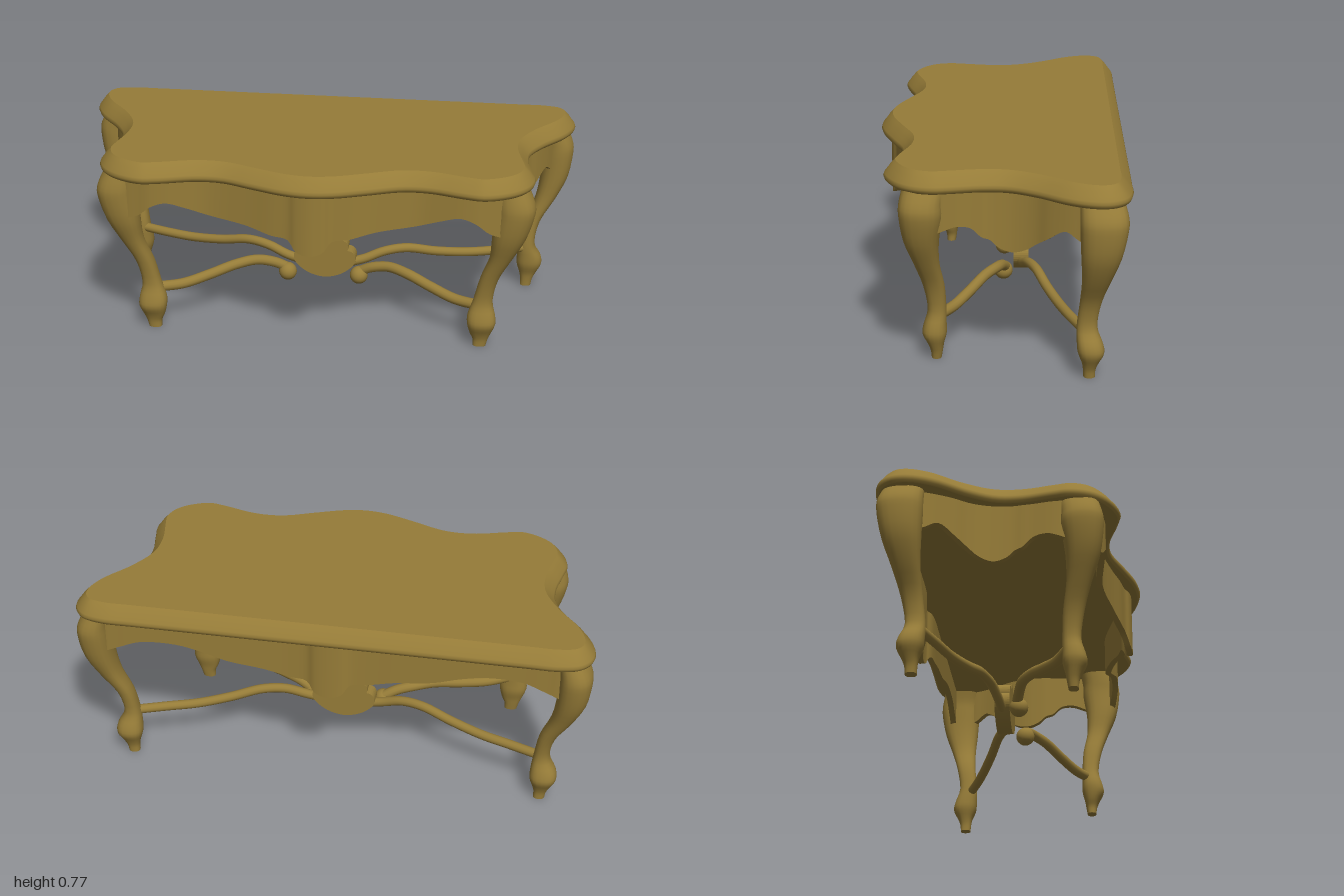
import * as THREE from 'three';
import { mergeGeometries } from 'three/addons/utils/BufferGeometryUtils.js';

const V = (x, y, z) => new THREE.Vector3(x, y, z);

// Skin between equal-length closed rings, with optional flat end caps
function loft(rings, caps = true) {
  const n = rings[0].length, pos = [], idx = [];
  rings.forEach(r => r.forEach(p => pos.push(p.x, p.y, p.z)));
  for (let i = 0; i < rings.length - 1; i++) {
    for (let j = 0; j < n; j++) {
      const a = i * n + j, b = i * n + (j + 1) % n, c = a + n, d = b + n;
      idx.push(a, c, b, b, c, d);
    }
  }
  if (caps) {
    [rings[0], rings[rings.length - 1]].forEach((r, top) => {
      const base = pos.length / 3;
      const mid = r.reduce((s, p) => s.add(p), V(0, 0, 0)).divideScalar(n);
      [...r, mid].forEach(p => pos.push(p.x, p.y, p.z));
      for (let j = 0; j < n; j++) {
        const a = base + j, b = base + (j + 1) % n;
        idx.push(base + n, top ? b : a, top ? a : b);
      }
    });
  }
  const g = new THREE.BufferGeometry();
  g.setAttribute('position', new THREE.Float32BufferAttribute(pos, 3));
  g.setIndex(idx);
  g.computeVertexNormals();
  return g;
}

// Closed symmetric loop from a half outline running back centre -> +x side -> front centre
function mirroredLoop(half, count) {
  const right = half.map(([x, z, y = 0]) => V(x, y, z));
  const left = right.slice(1, -1).reverse().map(p => V(-p.x, p.y, p.z));
  const curve = new THREE.CatmullRomCurve3([...right, ...left], true, 'centripetal');
  const out = [];
  for (let i = 0; i < count; i++) {
    const p = curve.getPoint(i / count), t = curve.getTangent(i / count);
    const l = Math.hypot(t.x, t.z);
    out.push({ p, nx: t.z / l, nz: -t.x / l });
  }
  return out;
}
const inset = (loop, d, y) => loop.map(({ p, nx, nz }) => V(p.x - nx * d, y ?? p.y, p.z - nz * d));

// Serpentine top outline: x, z
const TOP = [[0, -.478], [.4, -.478], [.75, -.478], [.87, -.477], [.95, -.455], [.99, -.405], [.995, -.34],
  [.96, -.25], [.87, -.13], [.82, -.03], [.815, .06], [.835, .17], [.845, .24], [.82, .32], [.76, .38],
  [.66, .42], [.58, .408], [.45, .372], [.35, .372], [.22, .42], [.1, .463], [0, .477]];

// Apron path with its scalloped lower edge: x, z, bottom y
const APRON = [[0, -.44, .445], [.05, -.435, .458], [.085, -.42, .5], [.15, -.415, .507], [.25, -.415, .53],
  [.4, -.415, .55], [.5, -.415, .58], [.6, -.415, .6], [.74, -.415, .595], [.83, -.415, .56], [.9, -.41, .53],
  [.93, -.36, .52], [.905, -.285, .555], [.885, -.24, .58], [.85, -.18, .54], [.82, -.14, .51], [.8, -.1, .48],
  [.785, -.05, .465], [.78, 0, .482], [.78, .03, .51], [.785, .06, .522], [.79, .1, .558], [.8, .15, .566],
  [.805, .2, .55], [.8, .25, .53], [.785, .3, .52], [.74, .335, .52], [.68, .35, .54], [.63, .36, .58],
  [.57, .358, .6], [.5, .348, .582], [.4, .338, .55], [.25, .37, .53], [.15, .4, .507], [.085, .415, .5],
  [.05, .432, .458], [0, .44, .445]];

// Cabriole leg extents: y, x min, x max, z min, z max
const FRONT_LEG = [[0, .63, .682, .215, .253], [.03, .628, .69, .21, .256], [.06, .615, .702, .205, .267],
  [.1, .605, .717, .195, .286], [.14, .606, .714, .195, .28], [.2, .626, .702, .195, .265], [.3, .65, .722, .2, .28],
  [.4, .683, .77, .216, .31], [.5, .69, .82, .215, .345], [.6, .7, .85, .2, .36], [.65, .7, .846, .2, .358],
  [.705, .7, .82, .19, .345]];
const BACK_LEG = [[0, .805, .85, -.355, -.312], [.03, .805, .856, -.357, -.31], [.06, .798, .87, -.368, -.305],
  [.1, .786, .89, -.387, -.29], [.14, .787, .885, -.38, -.286], [.2, .795, .857, -.36, -.285],
  [.3, .812, .875, -.375, -.295], [.4, .85, .933, -.405, -.3], [.5, .866, .98, -.44, -.295],
  [.6, .87, .996, -.46, -.29], [.65, .87, .99, -.46, -.29], [.705, .86, .96, -.445, -.29]];

// Leg lofted from rounded-square sections
function legGeometry(rows, side) {
  const lo = new THREE.CatmullRomCurve3(rows.map(r => V(r[1], r[0], r[3])), false, 'catmullrom');
  const hi = new THREE.CatmullRomCurve3(rows.map(r => V(r[2], r[0], r[4])), false, 'catmullrom');
  const round = v => Math.sign(v) * Math.abs(v) ** .85;
  const rings = [];
  for (let i = 0; i <= 33; i++) {
    const a = lo.getPoint(i / 33), b = hi.getPoint(i / 33), ring = [];
    for (let j = 0; j < 20; j++) {
      const t = j / 20 * Math.PI * 2;
      ring.push(V(side * (a.x + b.x) / 2 + (b.x - a.x) / 2 * round(Math.cos(t)), a.y,
        (a.z + b.z) / 2 + (b.z - a.z) / 2 * round(Math.sin(t))));
    }
    rings.push(ring);
  }
  return loft(rings);
}

export function createModel() {
  const group = new THREE.Group();
  const wood = new THREE.MeshStandardMaterial({ color: 0x967c38 });
  wood.name = 'antique gold wood';
  const add = (name, geometry) => {
    const m = new THREE.Mesh(geometry, wood);
    m.name = name;
    group.add(m);
    return m;
  };

  // Moulded table top: inset, y
  const top = mirroredLoop(TOP, 176);
  add('tableTop', loft([[.012, .698], [.004, .705], [0, .716], [.004, .727], [.016, .742], [.025, .755],
    [.037, .768], [.044, .775]].map(([d, y]) => inset(top, d, y))));

  // Scalloped apron: outer wall, lower edge and inner wall
  const apron = mirroredLoop(APRON, 288);
  const outerLow = inset(apron, 0), innerLow = inset(apron, .025);
  add('apron', mergeGeometries([
    loft([outerLow, inset(apron, 0, .705)], false),
    loft([innerLow, outerLow], false),
    loft([inset(apron, .025, .705), innerLow], false),
  ]));

  for (const s of [1, -1]) {
    const side = s > 0 ? 'Left' : 'Right';
    add('front' + side + 'Leg', legGeometry(FRONT_LEG, s));
    add('back' + side + 'Leg', legGeometry(BACK_LEG, s));

    // Curved stretchers from each leg to the centre
    const stretcher = (name, pts, r) => add(name, new THREE.TubeGeometry(
      new THREE.CatmullRomCurve3(pts.map(([x, y, z]) => V(s * x, y, z))), 40, r, 12));
    stretcher('front' + side + 'Stretcher', [[.65, .168, .22], [.55, .165, .17], [.45, .185, .115], [.35, .21, .06],
      [.27, .214, .015], [.2, .198, -.005], [.15, .172, -.018]], .021);
    stretcher('back' + side + 'Stretcher', [[.82, .184, -.31], [.7, .184, -.265], [.58, .187, -.225], [.45, .205, -.18],
      [.33, .231, -.14], [.24, .224, -.11], [.16, .195, -.09], [.08, .175, -.08]], .019);

    // Scroll knob at the inner end of the front stretcher
    const knob = add('scroll' + side, new THREE.SphereGeometry(.037, 20, 14));
    knob.position.set(s * .147, .158, -.01);
  }

  // Scalloped shell ornament at the crossing
  const shell = new THREE.Shape();
  shell.moveTo(0, .12);
  shell.quadraticCurveTo(.075, .125, .118, .178);
  shell.bezierCurveTo(.14, .205, .125, .245, .095, .243);
  shell.bezierCurveTo(.108, .275, .075, .305, .042, .285);
  shell.bezierCurveTo(.04, .332, -.04, .332, -.042, .285);
  shell.bezierCurveTo(-.075, .305, -.108, .275, -.095, .243);
  shell.bezierCurveTo(-.125, .245, -.14, .205, -.118, .178);
  shell.quadraticCurveTo(-.075, .125, 0, .12);
  const ornament = add('shellOrnament', new THREE.ExtrudeGeometry(shell, { depth: .06, bevelEnabled: false, curveSegments: 10 }));
  ornament.position.z = -.11;

  return group;
}
